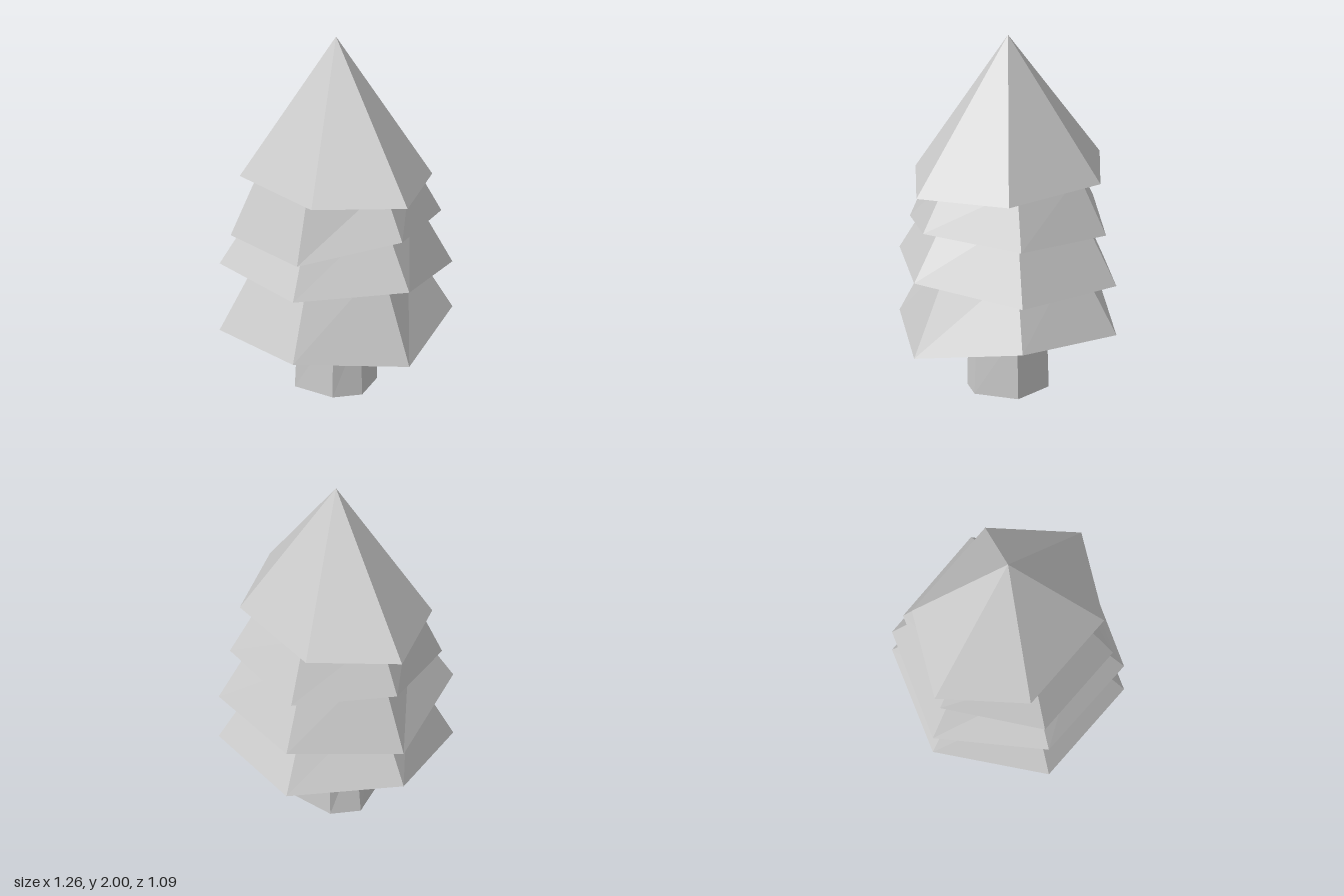
import * as THREE from 'three';

const material = new THREE.MeshStandardMaterial({ color: 0xcccccc, flatShading: true });

// Six-sided ring, starting at +x and turning towards +z; heights may differ per corner
const hexRing = (radius, heights, depth = radius) =>
  Array.from({ length: 6 }, (_, i) => {
    const a = (i * Math.PI) / 3;
    const y = Array.isArray(heights) ? heights[i] : heights;
    return new THREE.Vector3(radius * Math.cos(a), y, depth * Math.sin(a));
  });

const centre = (ring) =>
  ring.reduce((sum, p) => sum.add(p), new THREE.Vector3()).divideScalar(ring.length);

// Closed solid between a lower and an upper ring, with fan caps
function solid(name, lower, upper) {
  const points = [];
  const bottom = centre(lower);
  const top = centre(upper);
  lower.forEach((a, i) => {
    const j = (i + 1) % lower.length;
    const b = lower[j], c = upper[i], d = upper[j];
    points.push(bottom, a, b);
    points.push(a, c, b);
    if (c.distanceTo(d) > 1e-6) points.push(c, d, b, top, d, c);
  });
  const geometry = new THREE.BufferGeometry().setFromPoints(points);
  geometry.computeVertexNormals();
  const mesh = new THREE.Mesh(geometry, material);
  mesh.name = name;
  return mesh;
}

export function createModel() {
  const tree = new THREE.Group();
  tree.name = 'pineTree';

  // Trunk: uneven hexagon, slightly tapered
  const base = [[0.225, 0], [0.16, 0.15], [-0.09, 0.21], [-0.23, 0], [-0.16, -0.15], [0.09, -0.21]];
  const head = [[0.21, 0], [0.155, 0.145], [-0.07, 0.205], [-0.185, 0], [-0.15, -0.145], [0.09, -0.2]];
  const ringAt = (outline, y) => outline.map(([x, z]) => new THREE.Vector3(x, y, z));
  tree.add(solid('trunk', ringAt(base, 0), ringAt(head, 0.38)));

  // Branch skirts with crooked lower rims
  const tiers = [
    { name: 'lowerBranches', radius: 0.63, rim: [0.29, 0.34, 0.34, 0.4, 0.375, 0.4], topRadius: 0.39, top: 0.8 },
    { name: 'middleBranches', radius: 0.63, rim: [0.72, 0.7, 0.725, 0.615, 0.655, 0.66], topRadius: 0.4, top: 1.09 },
    { name: 'upperBranches', radius: 0.57, rim: [0.99, 0.885, 0.885, 0.96, 0.935, 0.96], topRadius: 0.41, top: 1.26 },
  ];
  for (const t of tiers) {
    tree.add(solid(t.name, hexRing(t.radius, t.rim), hexRing(t.topRadius, t.top)));
  }

  // Pointed crown, narrower from front to back
  tree.add(solid('crown', hexRing(0.615, 1.2, 0.478), hexRing(0, 2)));
  return tree;
}
